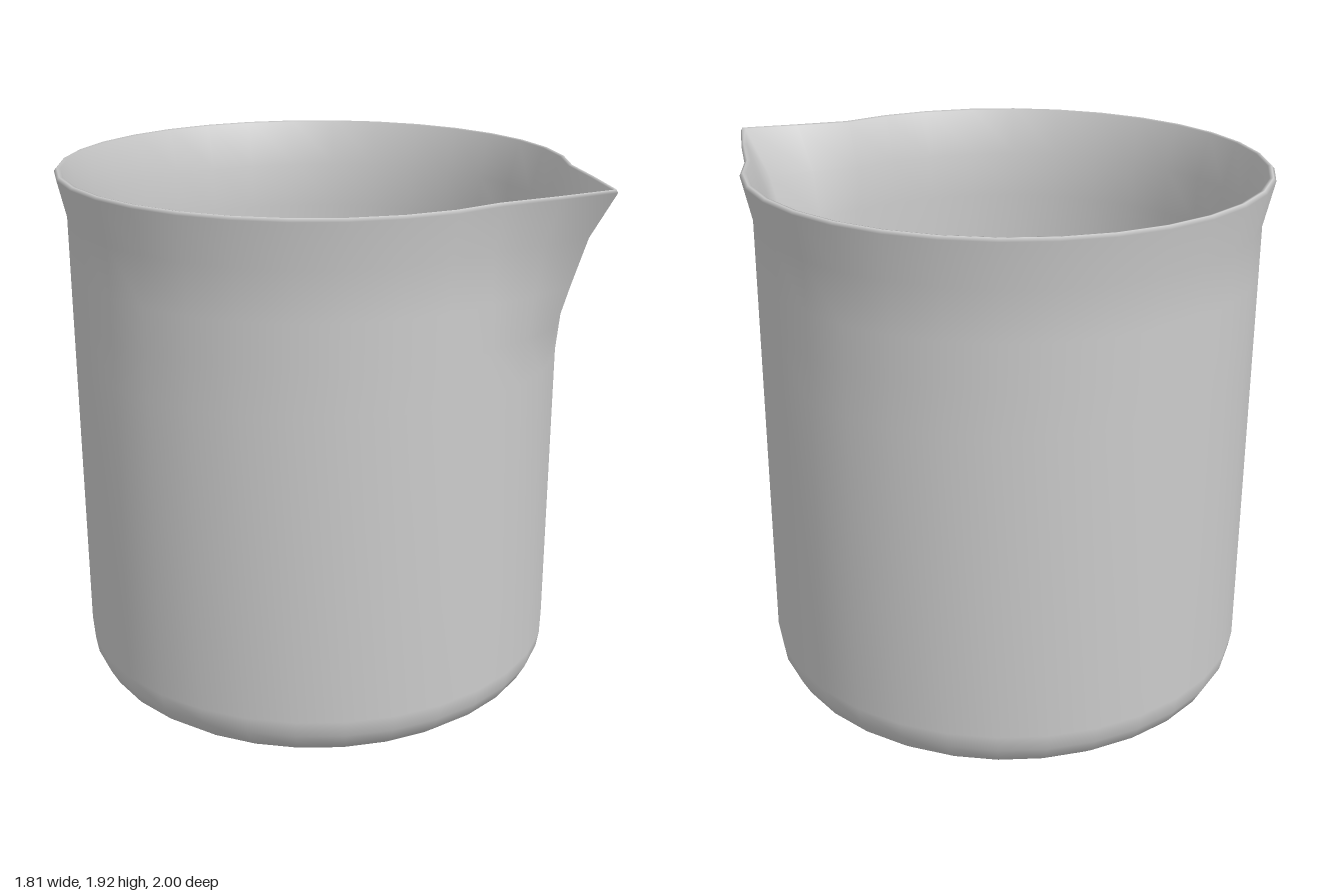
import * as THREE from 'three';
import { mergeVertices } from 'three/addons/utils/BufferGeometryUtils.js';

const SEGMENTS = 32;
const STEP = (Math.PI * 2) / SEGMENTS;

// Pull one rim vertex forward with a soft falloff to form the pouring lip
function pullSpout(geometry, { angle, reach, startY, topY }) {
  const pos = geometry.attributes.position;
  for (let i = 0; i < pos.count; i++) {
    const x = pos.getX(i), y = pos.getY(i), z = pos.getZ(i);
    if (y <= startY) continue;
    const away = Math.abs(Math.atan2(x, z) - angle) / STEP;
    const side = Math.pow(Math.max(0, 1 - away / 2), 1.25);
    const height = Math.pow((y - startY) / (topY - startY), 1.15);
    pos.setZ(i, z + reach * side * height);
    pos.setY(i, y + 0.01 * side * height);
  }
}

export function createModel() {
  const group = new THREE.Group();
  group.name = 'beaker';

  // Closed wall section: outside from the base up, over the rim, down the inside
  const profile = [
    [0, 0], [0.71, 0], [0.78, 0.015], [0.83, 0.055], [0.86, 0.11], [0.87, 0.17],
    [0.87, 1.26], [0.87, 1.42], [0.87, 1.57], [0.87, 1.74],
    [0.905, 1.895], [0.895, 1.906], [0.882, 1.903],
    [0.838, 1.74], [0.835, 1.57], [0.835, 1.42], [0.835, 1.26],
    [0.835, 0.18], [0.825, 0.12], [0.8, 0.08], [0.76, 0.05], [0.7, 0.035], [0, 0.035],
  ].map(([r, y]) => new THREE.Vector2(r, y));

  // Seam goes at the back, then is welded away for smooth shading
  let geometry = new THREE.LatheGeometry(profile, SEGMENTS, Math.PI);
  geometry.deleteAttribute('normal');
  geometry.deleteAttribute('uv');
  geometry = mergeVertices(geometry, 1e-4);
  pullSpout(geometry, { angle: STEP, reach: 0.205, startY: 1.26, topY: 1.9 });
  geometry.translate(0, 0, -0.094);
  geometry.computeVertexNormals();

  const vessel = new THREE.Mesh(geometry, new THREE.MeshStandardMaterial({ color: 0xcccccc }));
  vessel.name = 'vesselWithSpout';
  group.add(vessel);
  return group;
}
